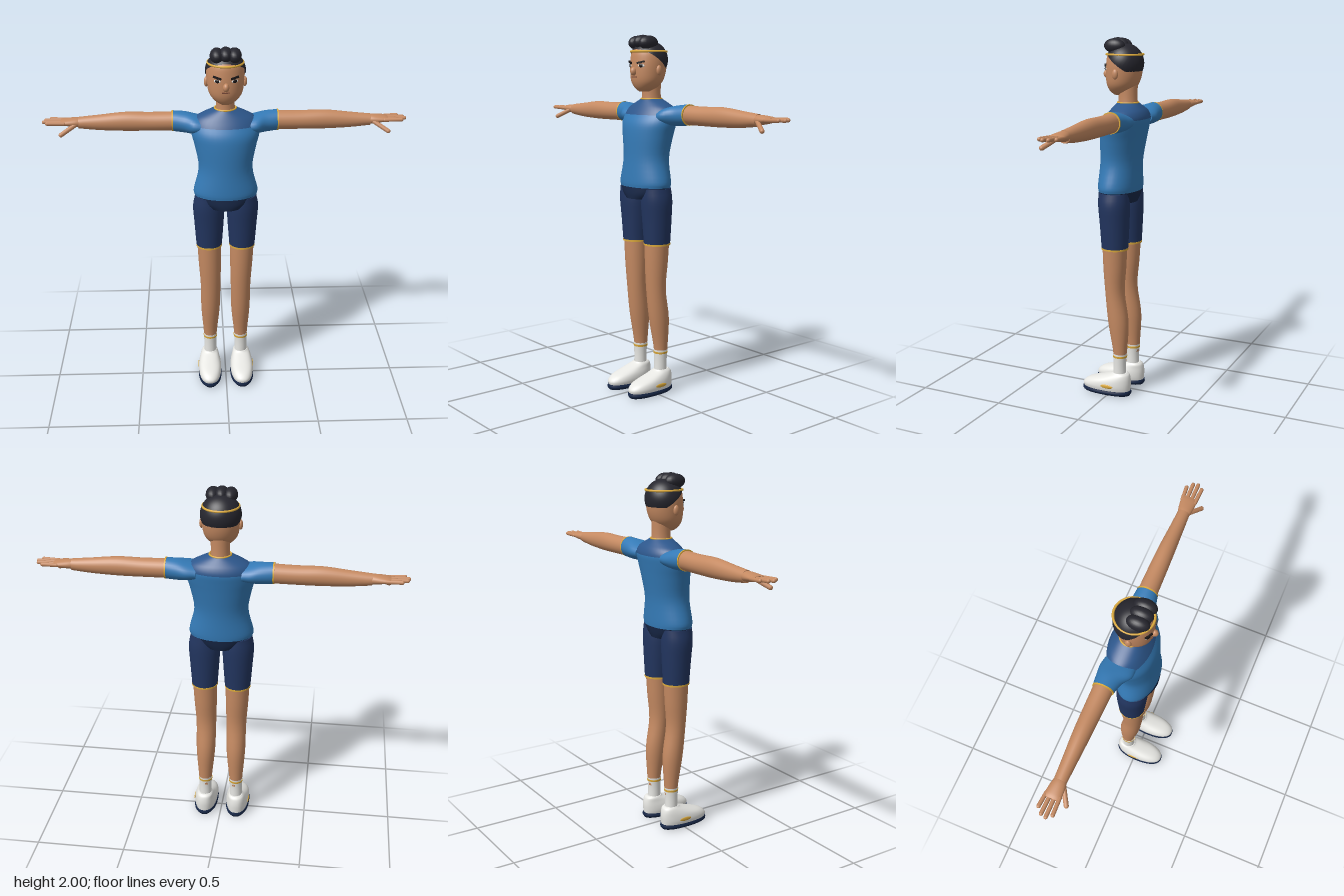
import * as THREE from 'three';

const mat = (name, color, side = THREE.FrontSide) => {
  const m = new THREE.MeshStandardMaterial({ color, side });
  m.name = name;
  return m;
};

// Smooth skin through elliptical rings [y, centreX, centreZ, radiusX, radiusZ], with flat caps.
// split: ring index where the second material starts. p: 2 = ellipse, higher = boxier.
function loft(rings, { seg = 28, sub = 4, p = 2, split = 0 } = {}) {
  const curve = new THREE.CubicInterpolant(rings.map((_, i) => i), new Float32Array(rings.flat()), 5);
  const rows = (rings.length - 1) * sub;
  const pos = [], idx = [];
  const bend = v => Math.sign(v) * Math.abs(v) ** (2 / p);
  const addRing = r => {
    for (let i = 0; i < seg; i++) {
      const a = (i / seg) * Math.PI * 2;
      pos.push(r[1] + r[3] * bend(Math.cos(a)), r[0], r[2] + r[4] * bend(Math.sin(a)));
    }
  };
  for (let j = 0; j <= rows; j++) addRing(curve.evaluate(j / sub));
  for (let j = 0; j < rows; j++) {
    for (let i = 0; i < seg; i++) {
      const a = j * seg + i, b = j * seg + (i + 1) % seg;
      idx.push(a, a + seg, b, b, a + seg, b + seg);
    }
  }
  for (const [r, top] of [[rings[0], false], [rings[rings.length - 1], true]]) {
    const start = pos.length / 3;
    addRing(r);
    pos.push(r[1], r[0], r[2]);
    for (let i = 0; i < seg; i++) {
      const a = start + i, b = start + (i + 1) % seg;
      idx.push(start + seg, top ? b : a, top ? a : b);
    }
  }
  const g = new THREE.BufferGeometry();
  g.setAttribute('position', new THREE.Float32BufferAttribute(pos, 3));
  g.setIndex(idx);
  g.computeVertexNormals();
  if (split) {
    const n = split * sub * seg * 6;
    g.addGroup(0, n, 0);
    g.addGroup(n, idx.length - n, 1);
  }
  return g;
}

// Loft running out along +x; rings are [x, y, z, radiusY, radiusZ].
const loftX = rings => loft(rings.map(([x, y, z, ry, rz]) => [x, -y, z, ry, rz])).rotateZ(-Math.PI / 2);

const ball = (x, y, z, rx, ry, rz, turnY = 0) =>
  new THREE.SphereGeometry(1, 20, 14).scale(rx, ry, rz).rotateY(turnY).translate(x, y, z);

const hoop = (y, z, rx, rz, tube) =>
  new THREE.TorusGeometry(1, tube / rx, 8, 40).rotateX(Math.PI / 2).scale(rx, rx, rz).translate(0, y, z);

// Rounded finger between two points
function finger(a, b, r) {
  const from = new THREE.Vector3(...a), to = new THREE.Vector3(...b);
  const dir = to.clone().sub(from);
  const g = new THREE.CapsuleGeometry(r, dir.length(), 5, 10);
  g.applyQuaternion(new THREE.Quaternion().setFromUnitVectors(new THREE.Vector3(0, 1, 0), dir.normalize()));
  const mid = from.add(to).multiplyScalar(0.5);
  return g.translate(mid.x, mid.y, mid.z);
}

function mirrored(geometry) {
  const g = geometry.clone().scale(-1, 1, 1);
  const ix = g.index.array;
  for (let i = 0; i < ix.length; i += 3) [ix[i], ix[i + 1]] = [ix[i + 1], ix[i]];
  return g;
}

export function createModel() {
  const skin = mat('skin', 0xc58a62);
  const blue = mat('shirt blue', 0x347ab6);
  const yoke = mat('yoke blue', 0x2d578c);
  const navy = mat('shorts navy', 0x22355f);
  const deep = mat('deep navy', 0x182848);
  const gold = mat('gold trim', 0xdcaa3c);
  const hair = mat('hair black', 0x26262e, THREE.DoubleSide);
  const white = mat('white', 0xe9e9e5);
  const dark = mat('face dark', 0x1b1718);
  const lip = mat('lip brown', 0x7a4a38);

  const model = new THREE.Group();
  const add = (name, geometry, material) => {
    const m = new THREE.Mesh(geometry, material);
    m.name = name;
    model.add(m);
  };
  const pair = (name, geometry, material) => {
    add(name + 'Left', geometry, material);
    add(name + 'Right', mirrored(geometry), material);
  };

  // Shirt and hips
  add('shirt', loft([
    [1.175, 0, -0.02, 0.172, 0.11], [1.21, 0, -0.02, 0.175, 0.112], [1.33, 0, -0.025, 0.147, 0.11],
    [1.45, 0, -0.035, 0.166, 0.118], [1.52, 0, -0.045, 0.184, 0.12], [1.57, 0, -0.06, 0.183, 0.112],
    [1.605, 0, -0.065, 0.162, 0.096], [1.63, 0, -0.064, 0.118, 0.078], [1.655, 0, -0.062, 0.06, 0.057],
  ], { seg: 40, split: 5 }), [blue, yoke]);
  add('collar', hoop(1.655, -0.062, 0.057, 0.056, 0.005), gold);
  add('hips', loft([
    [1.11, 0, -0.012, 0.1, 0.1], [1.14, 0, -0.015, 0.145, 0.106], [1.18, 0, -0.02, 0.171, 0.109],
  ], { seg: 40 }), deep);

  // Head
  add('neck', loft([[1.62, 0, -0.063, 0.055, 0.055], [1.68, 0, -0.062, 0.05, 0.052], [1.77, 0, -0.06, 0.052, 0.055]]), skin);
  add('head', loft([
    [1.695, 0, -0.018, 0.03, 0.035], [1.715, 0, -0.022, 0.06, 0.061], [1.75, 0, -0.03, 0.087, 0.085],
    [1.8, 0, -0.037, 0.098, 0.097], [1.86, 0, -0.041, 0.101, 0.099], [1.91, 0, -0.042, 0.092, 0.092],
    [1.945, 0, -0.043, 0.065, 0.065], [1.957, 0, -0.043, 0.03, 0.03],
  ], { seg: 36 }), skin);
  pair('ear', ball(0.102, 1.81, -0.032, 0.012, 0.027, 0.017), skin);
  add('nose', ball(0, 1.804, 0.062, 0.017, 0.023, 0.021), skin);
  pair('eyeWhite', ball(0.046, 1.834, 0.047, 0.019, 0.009, 0.005, 0.45), white);
  pair('iris', ball(0.046, 1.835, 0.05, 0.012, 0.01, 0.005, 0.45), dark);
  pair('brow', new THREE.BoxGeometry(0.045, 0.009, 0.009).rotateZ(0.2).rotateY(0.45).translate(0.046, 1.853, 0.051), dark);
  add('mouth', new THREE.BoxGeometry(0.042, 0.005, 0.008).translate(0, 1.774, 0.056), lip);

  // Hair cap tilted back, curls on top, headband
  add('hairCap', new THREE.SphereGeometry(1, 36, 18, 0, Math.PI * 2, 0, Math.PI * 0.52)
    .rotateX(-0.64).scale(0.108, 0.105, 0.104).translate(0, 1.865, -0.042), hair);
  for (const x of [-0.046, 0, 0.046]) add('curl', ball(x, x ? 1.957 : 1.961, -0.003, 0.037, 0.039, 0.06), hair);
  add('headband', hoop(1.911, -0.043, 0.094, 0.1, 0.006), gold);

  // Arms
  pair('sleeve', loftX([
    [0.12, 1.562, -0.067, 0.042, 0.085], [0.17, 1.565, -0.072, 0.051, 0.088],
    [0.22, 1.57, -0.086, 0.056, 0.069], [0.285, 1.575, -0.092, 0.056, 0.056],
  ]), blue);
  pair('sleeveTrim', loftX([[0.28, 1.575, -0.092, 0.057, 0.057], [0.288, 1.575, -0.092, 0.057, 0.057]]), gold);
  pair('arm', loftX([
    [0.25, 1.574, -0.092, 0.052, 0.052], [0.4, 1.572, -0.094, 0.051, 0.049], [0.54, 1.573, -0.095, 0.052, 0.045],
    [0.68, 1.569, -0.095, 0.042, 0.038], [0.79, 1.569, -0.095, 0.031, 0.033],
  ]), skin);
  pair('palm', loftX([
    [0.775, 1.57, -0.095, 0.026, 0.03], [0.81, 1.572, -0.095, 0.025, 0.038],
    [0.86, 1.574, -0.097, 0.018, 0.043], [0.885, 1.575, -0.098, 0.011, 0.041],
  ]), skin);
  [[-0.062, -0.058, 0.955], [-0.086, -0.085, 0.975], [-0.11, -0.112, 0.968], [-0.132, -0.138, 0.94]]
    .forEach(([z0, z1, tip]) => pair('finger', finger([0.865, 1.574, z0], [tip, 1.577, z1], 0.0105), skin));
  pair('thumb', finger([0.805, 1.565, -0.07], [0.88, 1.524, -0.026], 0.0125), skin);

  // Legs and shorts
  pair('shortsLeg', loft([
    [0.86, 0.093, -0.027, 0.072, 0.074], [1.0, 0.093, -0.025, 0.082, 0.082],
    [1.1, 0.094, -0.022, 0.087, 0.087], [1.17, 0.095, -0.02, 0.074, 0.084],
  ]), navy);
  pair('shortsTrim', loft([[0.853, 0.093, -0.027, 0.073, 0.075], [0.863, 0.093, -0.027, 0.073, 0.075]]), gold);
  pair('leg', loft([
    [0.2, 0.09, -0.057, 0.035, 0.036], [0.27, 0.09, -0.057, 0.04, 0.041], [0.43, 0.088, -0.046, 0.054, 0.058],
    [0.6, 0.087, -0.025, 0.057, 0.054], [0.75, 0.09, -0.025, 0.064, 0.064], [0.9, 0.093, -0.027, 0.069, 0.07],
  ]), skin);

  // Socks and shoes
  pair('sock', loft([[0.1, 0.091, -0.056, 0.036, 0.037], [0.18, 0.091, -0.056, 0.036, 0.036], [0.245, 0.09, -0.057, 0.039, 0.04]]), white);
  pair('sockTrim', loft([[0.224, 0.09, -0.057, 0.0395, 0.0405], [0.235, 0.09, -0.057, 0.0405, 0.0415]]), gold);
  pair('shoe', loft([
    [0.025, 0.095, 0.022, 0.062, 0.142], [0.05, 0.095, 0.022, 0.067, 0.144], [0.077, 0.095, 0.005, 0.064, 0.128],
    [0.102, 0.095, -0.032, 0.055, 0.088], [0.122, 0.093, -0.058, 0.046, 0.055], [0.132, 0.092, -0.058, 0.037, 0.042],
  ], { p: 2.3, seg: 36 }), white);
  pair('sole', loft([
    [0, 0.095, 0.022, 0.052, 0.14], [0.014, 0.095, 0.022, 0.068, 0.148], [0.03, 0.095, 0.022, 0.065, 0.146],
  ], { p: 2.3, seg: 36 }), deep);
  pair('shoeBadge', ball(0.161, 0.058, -0.004, 0.004, 0.011, 0.038), gold);
  for (const z of [-0.005, 0.02, 0.045])
    for (const dx of [-0.02, 0.02]) pair('lace', ball(0.094 + dx, 0.112 - 0.28 * z, z, 0.004, 0.004, 0.004), dark);

  return model;
}
